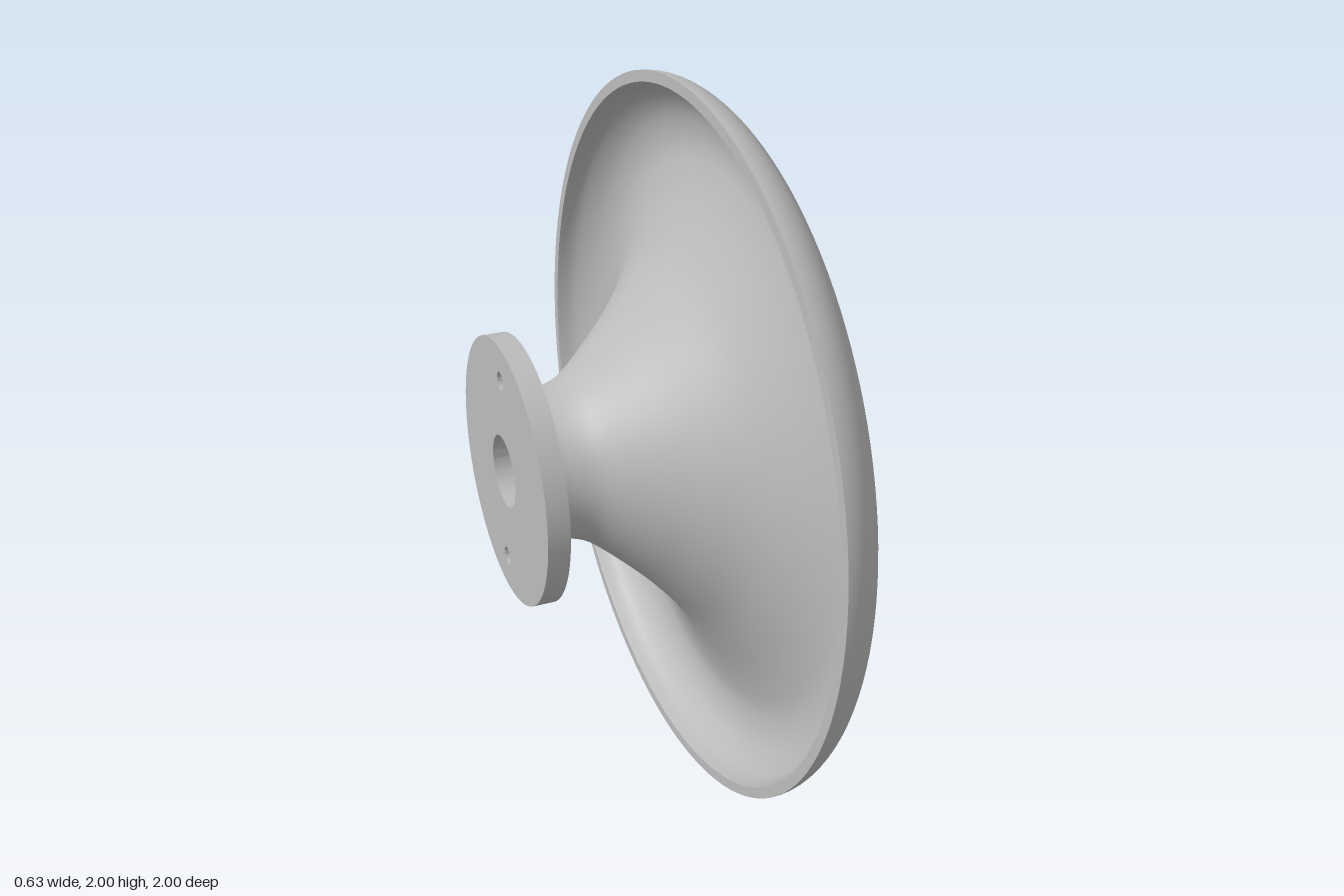
import * as THREE from 'three';
import { toCreasedNormals } from 'three/addons/utils/BufferGeometryUtils.js';

const SEGMENTS = 128;

// Smooth profile through [x along the axis, radius] pairs
function smooth(pairs, n) {
  const pts = pairs.map(([x, r]) => new THREE.Vector2(r, x));
  return new THREE.SplineCurve(pts).getPoints(n);
}

// Revolve a profile and lay its axis along +x
function revolve(name, points, material) {
  const geometry = new THREE.LatheGeometry(points, SEGMENTS);
  geometry.rotateZ(-Math.PI / 2);
  const mesh = new THREE.Mesh(geometry, material);
  mesh.name = name;
  return mesh;
}

function circleHole(x, y, r) {
  return new THREE.Path().absarc(x, y, r, 0, Math.PI * 2, true);
}

export function createModel() {
  const model = new THREE.Group();
  model.name = 'flaredHorn';
  const grey = new THREE.MeshStandardMaterial({ color: 0xbbbbbb });
  grey.name = 'grey';

  // Mounting flange with throat bore and two bolt holes
  const disc = new THREE.Shape().absarc(0, 0, 0.368, 0, Math.PI * 2, false);
  disc.holes.push(circleHole(0, 0, 0.1), circleHole(0, 0.27, 0.026), circleHole(0, -0.27, 0.026));
  const plate = new THREE.ExtrudeGeometry(disc, { depth: 0.06, bevelEnabled: false, curveSegments: 64 });
  plate.rotateY(Math.PI / 2).translate(-0.32, 0, 0);
  const flange = new THREE.Mesh(toCreasedNormals(plate, 0.6), grey);
  flange.name = 'mountingFlange';

  // Back of the bell: neck, flare and hollow underside of the rim
  const back = smooth([
    [-0.26, 0.206], [-0.2, 0.207], [-0.14, 0.222], [-0.09, 0.253], [0, 0.332], [0.08, 0.412],
    [0.165, 0.515], [0.23, 0.63], [0.27, 0.73], [0.285, 0.81], [0.268, 0.89], [0.22, 0.95], [0.165, 0.97],
  ], 72);

  // Flat edge of the rim
  const edge = [new THREE.Vector2(0.97, 0.165), new THREE.Vector2(1, 0.165)];

  // Mouth: rolled rim running down into the throat
  const rim = new THREE.EllipseCurve(0.8, 0.165, 0.2, 0.15, 0, Math.PI / 2).getPoints(24);
  const flare = smooth([
    [0.315, 0.8], [0.296, 0.72], [0.255, 0.63], [0.2, 0.534], [0.1, 0.4], [0, 0.295],
    [-0.09, 0.21], [-0.14, 0.17], [-0.2, 0.13], [-0.26, 0.1],
  ], 60);

  model.add(
    flange,
    revolve('bellBack', back, grey),
    revolve('rimEdge', edge, grey),
    revolve('bellMouth', [...rim, ...flare.slice(1)], grey),
  );
  model.children.forEach((part) => { part.position.y = 1; });
  return model;
}
